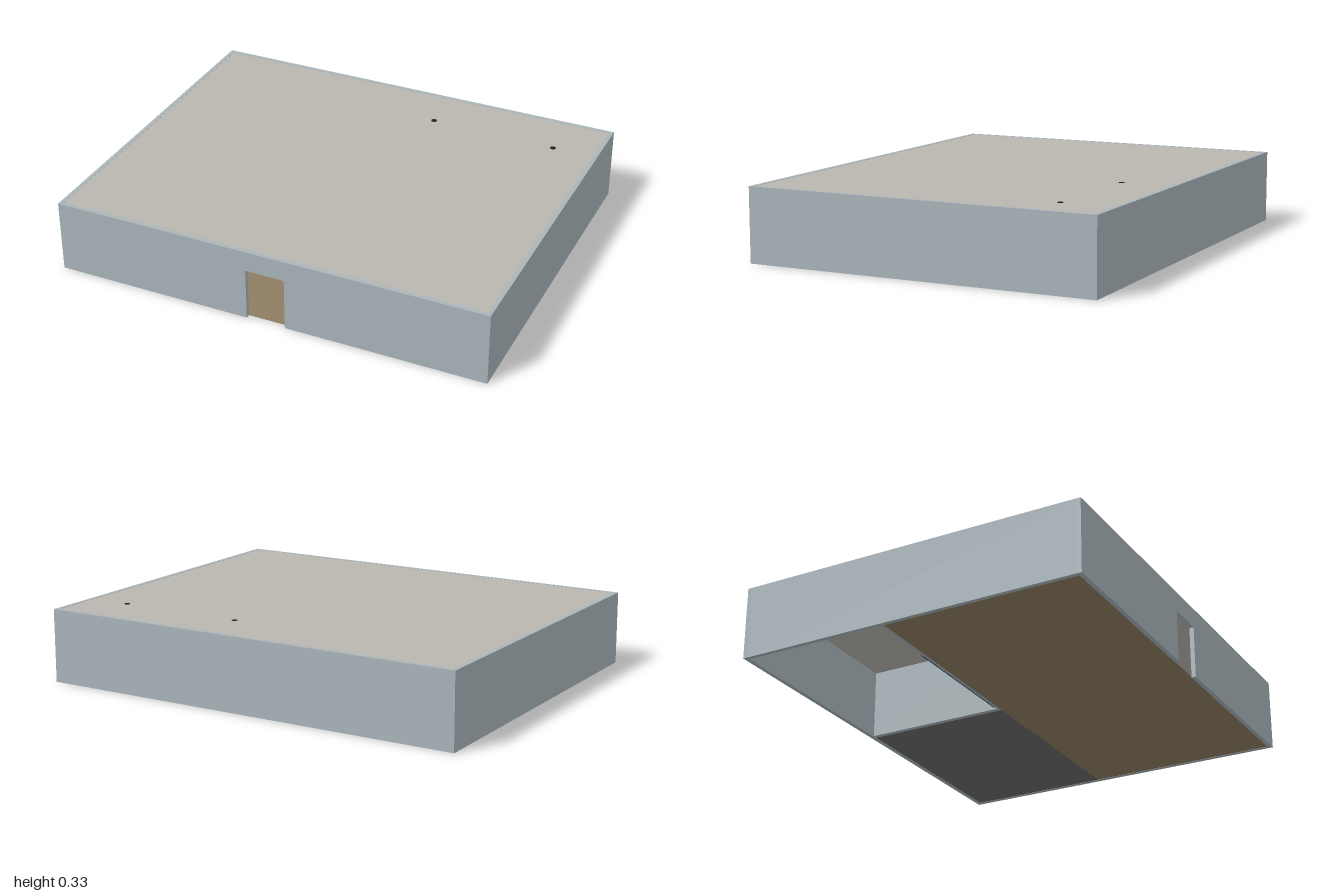
import * as THREE from 'three';

const H = 0.333;        // overall height
const T = 0.02;         // wall thickness
const X = 1, Z = 0.805; // half extents
const mat = (color) => new THREE.MeshStandardMaterial({ color });

export function createModel() {
  const model = new THREE.Group();
  const wallMat = mat(0xa9b5ba), roofMat = mat(0xb9b6b0), tileMat = mat(0x8f7d63);
  const darkTileMat = mat(0x6a6a6a), woodMat = mat(0x5a3c24), whiteMat = mat(0xe8e6e0);
  const blueMat = mat(0x2c3f66), blackMat = mat(0x1c1c1c);

  // box given by its minimum and maximum on each axis
  function block(name, x0, x1, y0, y1, z0, z1, material, parent = model) {
    const mesh = new THREE.Mesh(new THREE.BoxGeometry(x1 - x0, y1 - y0, z1 - z0), material);
    mesh.position.set((x0 + x1) / 2, (y0 + y1) / 2, (z0 + z1) / 2);
    mesh.name = name;
    parent.add(mesh);
    return mesh;
  }

  // outer walls
  block('backWall', -X, X, 0, H, -Z, -Z + T, wallMat);
  for (const s of [-1, 1]) {
    const xs = [s * X, s * (X - T)].sort((a, b) => a - b);
    block(s > 0 ? 'leftWall' : 'rightWall', xs[0], xs[1], 0, H, -Z + T, Z - T, wallMat);
  }

  // front wall with the doorway cut out of its lower edge
  const front = new THREE.Shape([
    [-X, 0], [-0.09, 0], [-0.09, 0.24], [0.09, 0.24], [0.09, 0], [X, 0], [X, H], [-X, H],
  ].map(([x, y]) => new THREE.Vector2(x, y)));
  const frontWall = new THREE.Mesh(
    new THREE.ExtrudeGeometry(front, { depth: T, bevelEnabled: false }), wallMat);
  frontWall.position.z = Z - T;
  frontWall.name = 'frontWall';
  model.add(frontWall);

  // flat roof set between the outer walls
  const ix = X - T, iz = Z - T;
  block('roof', -ix, ix, H - 0.008, H - 0.001, -iz, iz, roofMat);

  // floors: tiled hall in front, darker tiles at the back left; back right is open
  block('hallFloor', -ix, ix, 0.001, 0.004, -0.11, iz, tileMat);
  block('backFloor', 0, ix, 0.001, 0.004, -iz, -0.11, darkTileMat);

  // inner partitions
  const rooms = new THREE.Group();
  rooms.name = 'partitions';
  model.add(rooms);
  const top = H - 0.008;
  [
    ['hallPartition', -ix, ix, -0.125, -0.105],
    ['middlePartition', -0.02, 0, -iz, -0.125],
    ['firstRoomFront', 0, 0.38, -0.35, -0.335],
    ['firstRoomSide', 0.38, 0.395, -iz, -0.335],
    ['secondRoomSide', 0.585, 0.6, -iz, -0.325],
    ['secondRoomFront', 0.6, ix, -0.34, -0.325],
  ].forEach(([name, x0, x1, z0, z1]) => block(name, x0, x1, 0.002, top, z0, z1, wallMat, rooms));
  block('blueSkirting', -0.66, -0.04, 0.002, 0.014, -0.13, -0.125, blueMat, rooms);

  // round ceiling lamps of the two small rooms, just showing through the roof
  for (const [x, z] of [[0.2, -0.56], [0.79, -0.55]]) {
    const lamp = new THREE.Mesh(new THREE.CylinderGeometry(0.013, 0.013, 0.02, 20), blackMat);
    lamp.position.set(x, H - 0.01, z);
    lamp.name = 'ceilingLamp';
    model.add(lamp);
  }

  // reception desk facing the doorway
  const desk = new THREE.Group();
  desk.name = 'receptionDesk';
  model.add(desk);
  block('deskFront', -0.25, 0.25, 0.004, 0.106, 0.2, 0.22, woodMat, desk);
  for (const s of [-1, 1]) {
    block('deskSide', s * 0.24 - 0.01, s * 0.24 + 0.01, 0.004, 0.106, 0.1, 0.2, woodMat, desk);
  }
  block('deskTop', -0.255, 0.255, 0.106, 0.112, 0.1, 0.225, whiteMat, desk);
  block('deskItem', 0.038, 0.06, 0.112, 0.12, 0.14, 0.16, whiteMat, desk);

  return model;
}
